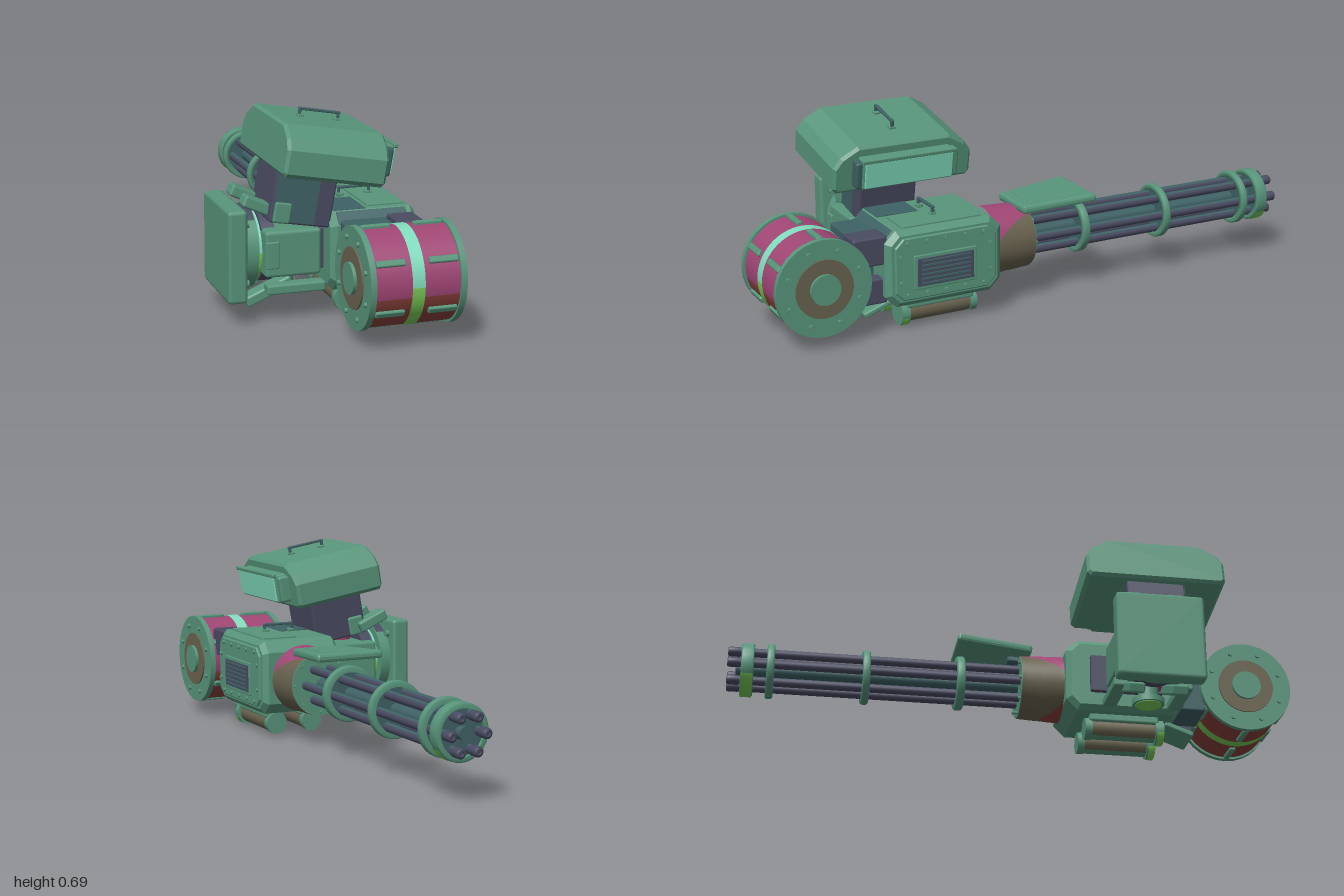
import * as THREE from 'three';
import { RoundedBoxGeometry } from 'three/addons/geometries/RoundedBoxGeometry.js';

const PI = Math.PI;
const paint = (name, color) => Object.assign(new THREE.MeshStandardMaterial({ color }), { name });

export function createModel() {
  const green = paint('green', 0x58957b), navy = paint('navy', 0x494b61), teal = paint('darkTeal', 0x3f6265);
  const magenta = paint('magenta', 0xa04674), red = paint('darkRed', 0x88403a), taupe = paint('taupe', 0x69634f);
  const aqua = paint('aqua', 0x80dcbc), lime = paint('lime', 0x7acc58);
  const root = new THREE.Group();
  root.name = 'rotaryGun';

  const group = (name, x, y, z, parent = root) => {
    const g = new THREE.Group();
    g.name = name;
    g.position.set(x, y, z);
    parent.add(g);
    return g;
  };
  const add = (parent, name, geo, mat, x = 0, y = 0, z = 0, rx = 0, ry = 0, rz = 0) => {
    const m = new THREE.Mesh(geo, mat);
    m.name = name;
    m.position.set(x, y, z);
    m.rotation.set(rx, ry, rz);
    parent.add(m);
    return m;
  };
  const box = (w, h, d, r = 0.008) => new RoundedBoxGeometry(w, h, d, 1, Math.min(r, w / 3, h / 3, d / 3));
  const cylX = (r, len, start = 0, sweep = 2 * PI, open = false) =>
    new THREE.CylinderGeometry(r, r, len, 32, 1, open, start, sweep).rotateZ(-PI / 2);
  const cylY = (r, len) => new THREE.CylinderGeometry(r, r, len, 28);
  const cylZ = (r, len, seg = 24) => new THREE.CylinderGeometry(r, r, len, seg).rotateX(PI / 2);
  // open sector of a cylinder along z; angle 0 points down, PI points up
  const arcZ = (r, len, from, to) =>
    new THREE.CylinderGeometry(r, r, len, 12, 1, true, from, to - from).rotateX(PI / 2);
  // lathed band around z with an open centre
  const bandZ = (inner, outer, len) => {
    const h = len / 2, b = 0.005;
    const p = [[inner, -h], [outer - b, -h], [outer, b - h], [outer, h - b], [outer - b, h], [inner, h], [inner, -h]];
    return new THREE.LatheGeometry(p.map(q => new THREE.Vector2(...q)), 32).rotateX(PI / 2);
  };
  // side profile in (z, y), extruded across x and centred
  const slabX = (pts, width, bevel = 0.008) => {
    const s = new THREE.Shape(pts.map(([z, y]) => new THREE.Vector2(-z, y)));
    return new THREE.ExtrudeGeometry(s, {
      depth: width - 2 * bevel, bevelEnabled: true, bevelSize: bevel, bevelThickness: bevel,
      bevelOffset: -bevel, bevelSegments: 1,
    }).translate(0, 0, -width / 2 + bevel).rotateY(PI / 2);
  };
  const octagon = (a, b, c) => [[-a, -b + c], [-a + c, -b], [a - c, -b], [a, -b + c],
    [a, b - c], [a - c, b], [-a + c, b], [-a, b - c]];
  const carryHandle = (parent, width, x, y, z) => {
    const h = group('carryHandle', x, y, z, parent);
    add(h, 'grip', box(width, 0.009, 0.012, 0.003), teal, 0, 0.026, 0);
    for (const s of [-1, 1]) {
      add(h, 'post', box(0.009, 0.03, 0.012, 0.003), teal, s * (width / 2 - 0.006), 0.015, 0);
      add(h, 'foot', box(0.022, 0.012, 0.022, 0.003), green, s * (width / 2 - 0.01), 0.002, 0);
    }
  };

  // Receiver body
  const body = group('receiver', 0.16, 0.225, 0.4);
  add(body, 'housing', slabX(octagon(0.213, 0.133, 0.04), 0.3, 0.018), green);
  add(body, 'sidePlate', slabX(octagon(0.185, 0.108, 0.03), 0.02, 0.004), green, 0.148);
  add(body, 'topPanel', box(0.13, 0.012, 0.29), green, 0.06, 0.134, 0);
  add(body, 'rearSlopePlate', box(0.24, 0.006, 0.046, 0.001), teal, -0.005, 0.1135, 0.1935, PI / 4);
  add(body, 'topDarkPlate', box(0.11, 0.006, 0.15, 0.001), teal, -0.075, 0.133, 0.095);
  carryHandle(body, 0.12, 0, 0.14, 0);
  add(body, 'innerPlate', box(0.02, 0.14, 0.26), navy, -0.155);
  add(body, 'grilleFrame', box(0.014, 0.12, 0.23, 0.004), green, 0.157, -0.015, 0.005);
  add(body, 'grilleOpening', box(0.006, 0.096, 0.206, 0.001), navy, 0.164, -0.015, 0.005);
  for (let i = 0; i < 6; i++)
    add(body, 'grilleSlat', box(0.006, 0.007, 0.18, 0.001), teal, 0.168, -0.053 + i * 0.0155, 0.005);
  for (const y of [-0.09, 0.09]) for (let i = 0; i < 5; i++)
    add(body, 'bolt', cylX(0.007, 0.012), green, 0.159, y, -0.14 + i * 0.07);
  for (const z of [-0.165, 0.165]) for (const y of [-0.045, 0.045])
    add(body, 'bolt', cylX(0.007, 0.012), green, 0.159, y, z);

  // Tubes under the receiver
  for (const x of [0.09, 0.23]) {
    const t = group('lowerTube', x, 0.047, 0.4);
    add(t, 'tubeSides', arcZ(0.036, 0.27, 0.6, 2 * PI - 0.6), taupe);
    add(t, 'tubeUnderside', arcZ(0.036, 0.27, -0.6, 0.6), green);
    add(t, 'rearCap', cylZ(0.045, 0.03), green, 0, 0, 0.128);
    add(t, 'rearCapMark', arcZ(0.0465, 0.024, -1.3, 1.3), lime, 0, 0, 0.13);
    add(t, 'frontCap', cylZ(0.039, 0.025), green, 0, 0, -0.127);
    add(t, 'mountRail', box(0.08, 0.03, 0.25), green, 0, 0.034, 0);
  }

  // Barrel shroud: painted fields whose edges slant along the length
  const shroud = group('barrelShroud', 0.16, 0.22, 0.11);
  const field = (from, to) => {
    const g = new THREE.PlaneGeometry(1, 1, 16, 8), p = g.attributes.position;
    for (let i = 0; i < p.count; i++) {
      const v = p.getY(i) + 0.5, r = 0.113 + 0.007 * v;
      const a = THREE.MathUtils.lerp(from(v), to(v), p.getX(i) + 0.5);
      p.setXYZ(i, r * Math.sin(a), -r * Math.cos(a), -0.075 + 0.15 * v);
    }
    g.computeVertexNormals();
    return g;
  };
  const topEdge = v => PI - 0.6 - 0.75 * v ** 1.5, redEdge = v => 0.8 * Math.max(0, 2 * v - 1);
  add(shroud, 'shroudTop', field(topEdge, v => 2 * PI - topEdge(v)), magenta);
  add(shroud, 'shroudLeft', field(redEdge, topEdge), taupe);
  add(shroud, 'shroudRight', field(v => 2 * PI - topEdge(v), v => 2 * PI - redEdge(v)), taupe);
  add(shroud, 'shroudUnderside', field(v => -redEdge(v), redEdge), red);
  add(shroud, 'shroudFace', cylZ(0.112, 0.01, 32), green, 0, 0, -0.072);
  for (let i = 0; i < 8; i++)
    add(shroud, 'faceBolt', cylZ(0.007, 0.012, 8), green, 0.098 * Math.cos(i * PI / 4), 0.098 * Math.sin(i * PI / 4), -0.079);

  // Six barrels and their clamps
  const barrels = group('barrelCluster', 0.157, 0.22, 0);
  for (let i = 0; i < 6; i++) {
    const x = 0.062 * Math.cos(i * PI / 3), y = 0.062 * Math.sin(i * PI / 3);
    add(barrels, 'barrelTop', arcZ(0.0155, 1.05, PI - 0.7, PI + 0.7), teal, x, y, -0.47);
    add(barrels, 'barrelUnderside', arcZ(0.0155, 1.05, PI + 0.7, 3 * PI - 0.7), navy, x, y, -0.47);
    add(barrels, 'muzzle', bandZ(0.009, 0.0172, 0.045), navy, x, y, -0.977);
    add(barrels, 'bore', cylZ(0.01, 0.01, 12), navy, x, y, -0.985);
  }
  add(barrels, 'centreShaft', cylZ(0.022, 1.02), teal, 0, 0, -0.46);
  for (const [z, w, r] of [[-0.18, 0.03, 0.097], [-0.515, 0.027, 0.097], [-0.85, 0.027, 0.097], [-0.93, 0.045, 0.094]]) {
    add(barrels, 'clampRing', bandZ(0.076, r, w), green, 0, 0, z);
    add(barrels, 'clampDisc', cylZ(0.078, w * 0.5), teal, 0, 0, z);
  }
  add(barrels, 'muzzleMark', arcZ(0.0955, 0.04, -1.05, 1.05), lime, 0, 0, -0.93);

  // Tapered guard above the barrels
  const guard = group('barrelGuard', 0.159, 0.343, -0.062);
  guard.rotation.x = 0.06;
  const taper = (w, h, d) => {
    const g = box(w, h, d, 0.01), p = g.attributes.position;
    for (let i = 0; i < p.count; i++) p.setX(i, p.getX(i) * (1 - 0.26 * (p.getZ(i) / d + 0.5)));
    g.computeVertexNormals();
    return g;
  };
  add(guard, 'guardPlate', taper(0.25, 0.028, 0.272), green);
  add(guard, 'guardPanel', taper(0.17, 0.012, 0.18), green, 0, 0.012, 0.005);
  add(guard, 'guardBracket', box(0.07, 0.03, 0.07), teal, 0, -0.018, 0.09);

  // Ammunition drum, axis across x
  const drum = group('ammoDrum', 0.16, 0.212, 0.836);
  add(drum, 'drumUpper', cylX(0.158, 0.29, PI - 0.2, PI + 0.4, true), magenta);
  add(drum, 'drumLower', cylX(0.158, 0.29, 0.2, PI - 0.4, true), red);
  add(drum, 'stripeUpper', cylX(0.1605, 0.042, PI, PI, true), aqua);
  add(drum, 'stripeLower', cylX(0.1605, 0.042, 0, PI, true), lime);
  for (const s of [-1, 1]) {
    add(drum, 'rim', cylX(0.166, 0.02), green, s * 0.149);
    add(drum, 'endRing', cylX(0.1, 0.012), taupe, s * 0.158);
    add(drum, 'hub', cylX(0.052, 0.026), green, s * 0.162);
    for (let i = 0; i < 8; i++) {
      const a = i * PI / 4 + PI / 8;
      add(drum, 'rimBolt', cylX(0.008, 0.014), green, s * 0.161, 0.132 * Math.sin(a), 0.132 * Math.cos(a));
    }
    for (let i = 0; i < 6; i++) {
      const a = PI / 6 + i * PI / 3;
      add(drum, 'rib', box(0.097, 0.022, 0.016, 0.005), green, s * 0.087, 0.16 * Math.sin(a), 0.16 * Math.cos(a), -a);
    }
  }

  // Feed parts between receiver and drum
  add(root, 'feedBlock', box(0.09, 0.1, 0.12), navy, 0.245, 0.295, 0.66);
  add(root, 'feedChute', box(0.16, 0.21, 0.11), teal, 0.12, 0.228, 0.645);
  add(root, 'feedGuide', box(0.05, 0.09, 0.1), navy, 0.25, 0.15, 0.645);
  add(root, 'latch', box(0.14, 0.02, 0.11), green, 0.16, 0.07, 0.61, 0.35);

  // Side mount: upright core, bracket box and rotating plates
  const mount = group('sideMount', 0, 0.235, 0.45);
  add(mount, 'mountCore', cylY(0.049, 0.205), magenta, -0.108, -0.0025);
  add(mount, 'footPost', cylY(0.035, 0.06), green, -0.106, -0.13);
  add(mount, 'footDisc', cylY(0.056, 0.02), green, -0.106, -0.156);
  add(mount, 'footMark', cylY(0.046, 0.004), lime, -0.106, -0.166);
  add(mount, 'axle', cylX(0.06, 0.3), teal, -0.13);
  add(mount, 'bracketBox', box(0.19, 0.155, 0.28, 0.012), green, -0.115, 0, 0.01);
  add(mount, 'bracketPad', box(0.045, 0.09, 0.012), green, -0.188, 0, 0.152);
  add(mount, 'darkFlange', cylX(0.122, 0.045), navy, -0.186);
  add(mount, 'accentUpper', cylX(0.12, 0.007, PI, PI), aqua, -0.216);
  add(mount, 'accentLower', cylX(0.12, 0.007, 0, PI), lime, -0.216);
  add(mount, 'turnDisc', cylX(0.137, 0.038), green, -0.246);
  add(mount, 'turnDiscTop', cylX(0.138, 0.034, PI * 1.5 - 0.7, 1.4, true), navy, -0.246);
  add(mount, 'shieldPlate', box(0.066, 0.31, 0.31, 0.014), green, -0.302);
  for (const z of [-0.11, 0, 0.11]) for (const y of [-0.1, 0, 0.1])
    add(mount, 'plateBolt', cylX(0.012, 0.016), green, -0.264, y, z);
  for (const s of [-1, 1]) {
    add(mount, 'lowerRail', box(0.2, 0.034, 0.05), green, -0.1, -0.122, s * 0.115);
    add(mount, 'lowerArm', box(0.17, 0.036, 0.06), green, -0.184, -0.137, s * 0.075, 0, 0, 0.4);
    add(mount, 'upperArm', box(0.12, 0.04, 0.06), green, -0.212, 0.15, s * 0.075, 0, 0, -0.42);
  }

  // Tilted sight housing on its neck
  const sight = group('sightHousing', -0.008, 0.57, 0.478);
  sight.rotation.z = -0.173;
  add(sight, 'shell', slabX([[-0.25, -0.066], [-0.236, -0.08], [0.236, -0.08], [0.25, -0.066],
    [0.25, 0.01], [0.225, 0.045], [0.165, 0.08], [-0.165, 0.08], [-0.225, 0.045], [-0.25, 0.01]], 0.343, 0.01), green);
  add(sight, 'neck', box(0.21, 0.2, 0.21), navy, -0.039, -0.158, 0);
  add(sight, 'neckPanel', box(0.145, 0.19, 0.006, 0.001), teal, -0.064, -0.157, 0.104);
  add(sight, 'neckFoot', box(0.06, 0.07, 0.226), green, -0.105, -0.222, 0);
  add(sight, 'lensHousing', box(0.05, 0.104, 0.33, 0.008), green, 0.19, -0.005, 0);
  for (const [s, mat] of [[-1, green], [1, teal]])
    add(sight, 'lensCheek', box(0.046, 0.096, 0.03, 0.01), mat, 0.186, -0.007, s * 0.17);
  add(sight, 'lens', box(0.009, 0.09, 0.315, 0.002), aqua, 0.217, -0.004, 0);
  add(sight, 'lensHood', box(0.016, 0.014, 0.34, 0.004), green, 0.217, 0.047, 0);
  carryHandle(sight, 0.145, 0, 0.08, 0);
  return root;
}
